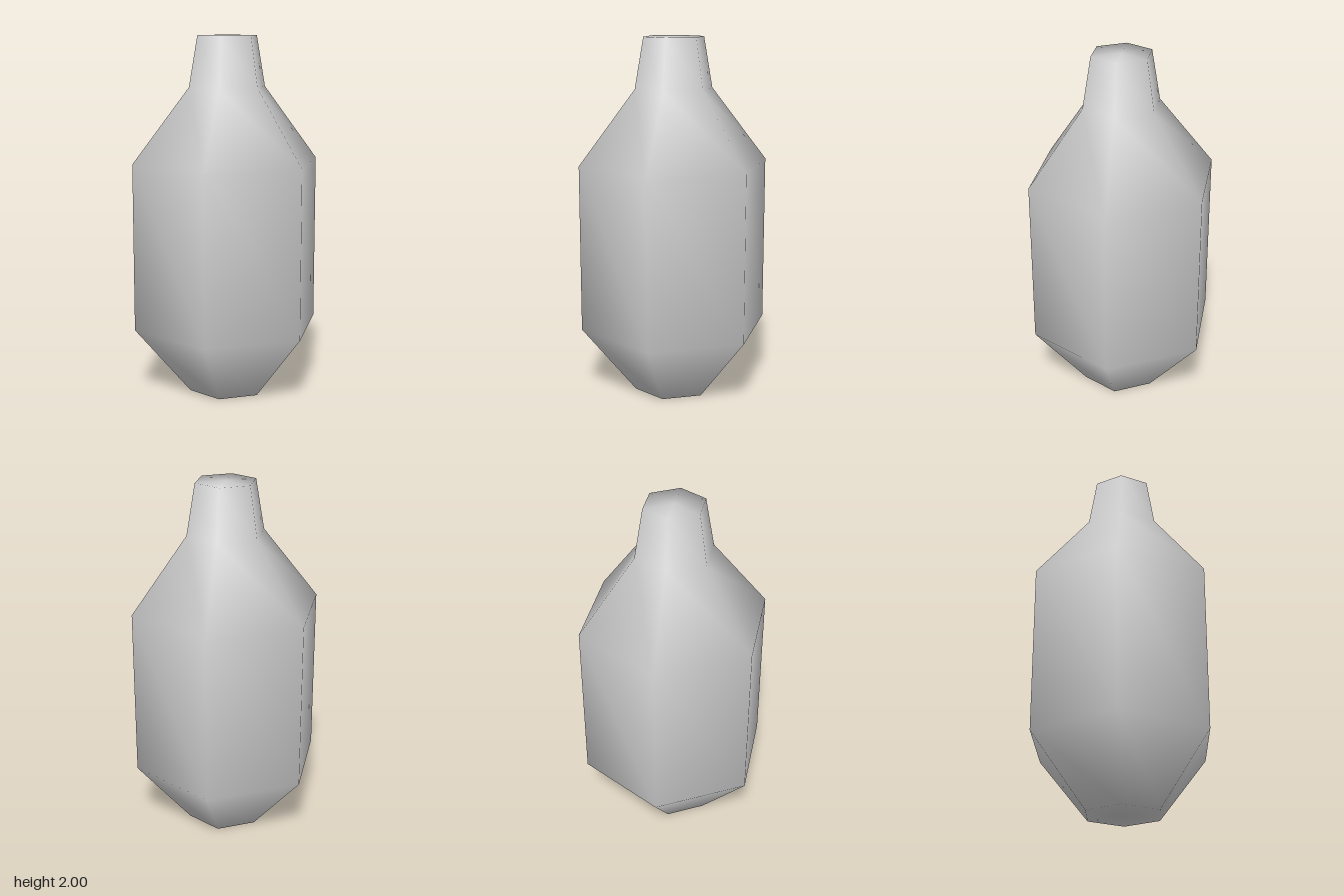
import * as THREE from 'three';

const SIDES = 6;

// Closed smooth hexagonal loft: each ring is [radius, y, centreX, centreZ]
function loft(rings) {
  const pos = [];
  const idx = [];
  for (const [r, y, cx, cz] of rings) {
    for (let j = 0; j < SIDES; j++) {
      const a = (j / SIDES) * Math.PI * 2;
      pos.push(cx + r * Math.cos(a), y, cz + r * Math.sin(a));
    }
  }
  const last = rings.length - 1;
  const bottom = pos.length / 3;
  const top = bottom + 1;
  for (const [, y, cx, cz] of [rings[0], rings[last]]) pos.push(cx, y, cz);

  for (let j = 0; j < SIDES; j++) {
    const k = (j + 1) % SIDES;
    // Walls
    for (let i = 0; i < last; i++) {
      const a = i * SIDES, b = a + SIDES;
      idx.push(a + k, a + j, b + k, a + j, b + j, b + k);
    }
    // Caps
    idx.push(bottom, j, k);
    idx.push(top, last * SIDES + k, last * SIDES + j);
  }
  const geo = new THREE.BufferGeometry();
  geo.setAttribute('position', new THREE.Float32BufferAttribute(pos, 3));
  geo.setIndex(idx);
  geo.computeVertexNormals();
  return geo;
}

export function createModel() {
  const group = new THREE.Group();
  group.name = 'bottle';
  const grey = new THREE.MeshStandardMaterial({ color: 0xcccccc });
  grey.name = 'light grey';

  // Foot, belly, shoulder and neck in one smooth skin
  const body = new THREE.Mesh(loft([
    [0.222, 0, 0.003, 0.01],
    [0.535, 0.38, 0, 0],
    [0.535, 1.31, 0, 0],
    [0.219, 1.72, 0.003, 0.005],
    [0.17, 2, 0.003, 0.005],
  ]), grey);
  body.name = 'bottleBody';
  group.add(body);
  return group;
}
